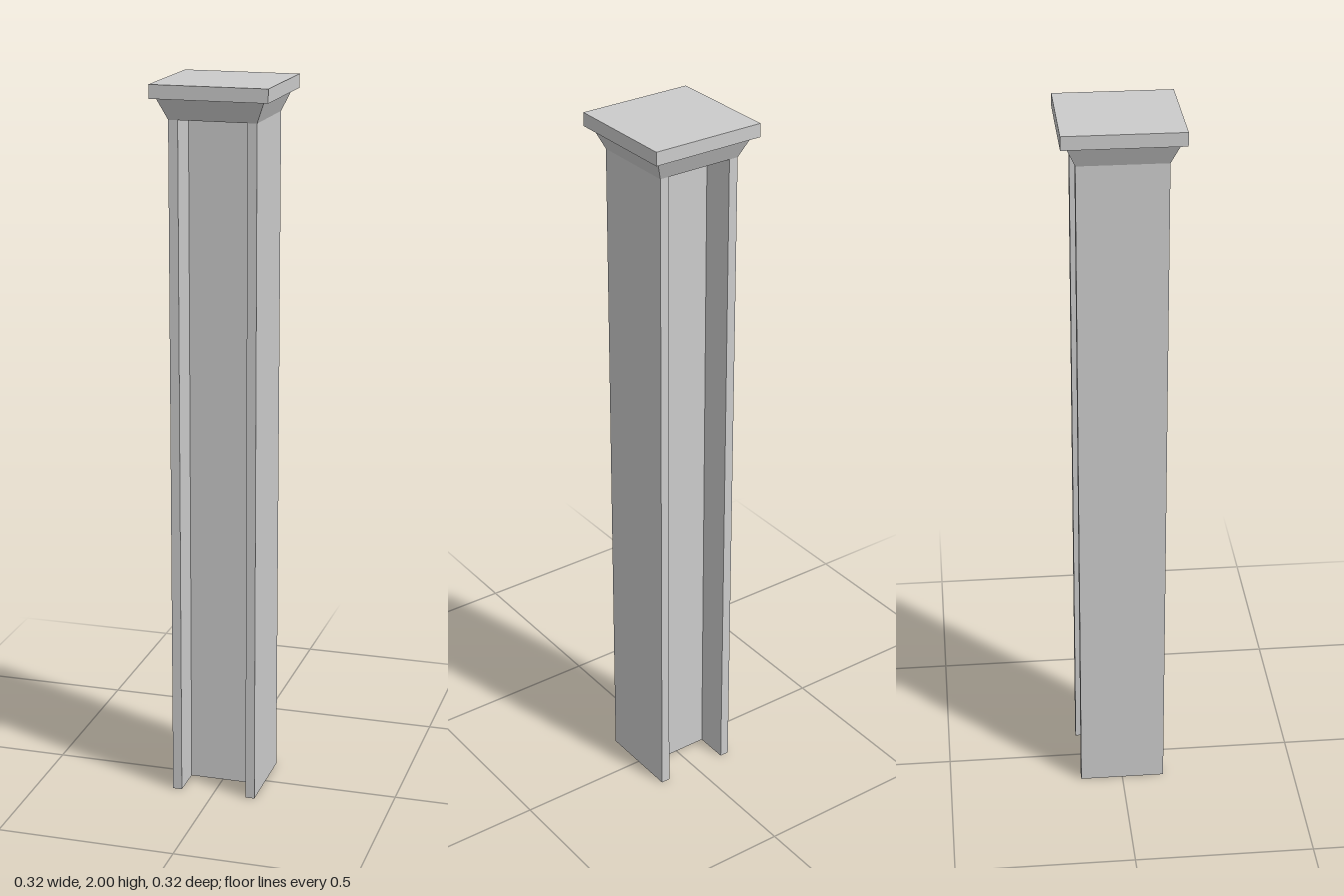
import * as THREE from 'three';

const HALF = 0.12;       // half width of the shaft
const INNER = 0.094;     // inner face of the flanges
const WEB = 0.025;       // half thickness of the web
const SHAFT_TOP = 1.905;
const SLAB_BOTTOM = 1.963;

export function createModel() {
  const group = new THREE.Group();
  const material = new THREE.MeshStandardMaterial({ color: 0xcccccc, flatShading: true });
  const shellMaterial = new THREE.MeshStandardMaterial({
    color: 0xcccccc, flatShading: true, side: THREE.DoubleSide,
  });

  const add = (name, geometry, mat = material) => {
    const mesh = new THREE.Mesh(geometry, mat);
    mesh.name = name;
    group.add(mesh);
    return mesh;
  };

  // H-section shaft: two flanges joined by a web
  const section = new THREE.Shape([
    [-HALF, -HALF], [-INNER, -HALF], [-INNER, -WEB], [INNER, -WEB],
    [INNER, -HALF], [HALF, -HALF], [HALF, HALF], [INNER, HALF],
    [INNER, WEB], [-INNER, WEB], [-INNER, HALF], [-HALF, HALF],
  ].map(([x, y]) => new THREE.Vector2(x, y)));
  const shaft = new THREE.ExtrudeGeometry(section, { depth: SHAFT_TOP, bevelEnabled: false });
  shaft.rotateX(-Math.PI / 2);
  add('shaft', shaft);

  // Flared square collar, hollow and open below
  const height = SLAB_BOTTOM - SHAFT_TOP;
  const collar = new THREE.CylinderGeometry(
    0.145 * Math.SQRT2, HALF * Math.SQRT2, height, 4, 1, true);
  collar.rotateY(Math.PI / 4);
  add('collar', collar, shellMaterial).position.y = SHAFT_TOP + height / 2;

  // Square slab on top
  const slabHeight = 2 - SLAB_BOTTOM;
  add('topSlab', new THREE.BoxGeometry(0.32, slabHeight, 0.32))
    .position.y = SLAB_BOTTOM + slabHeight / 2;

  return group;
}
